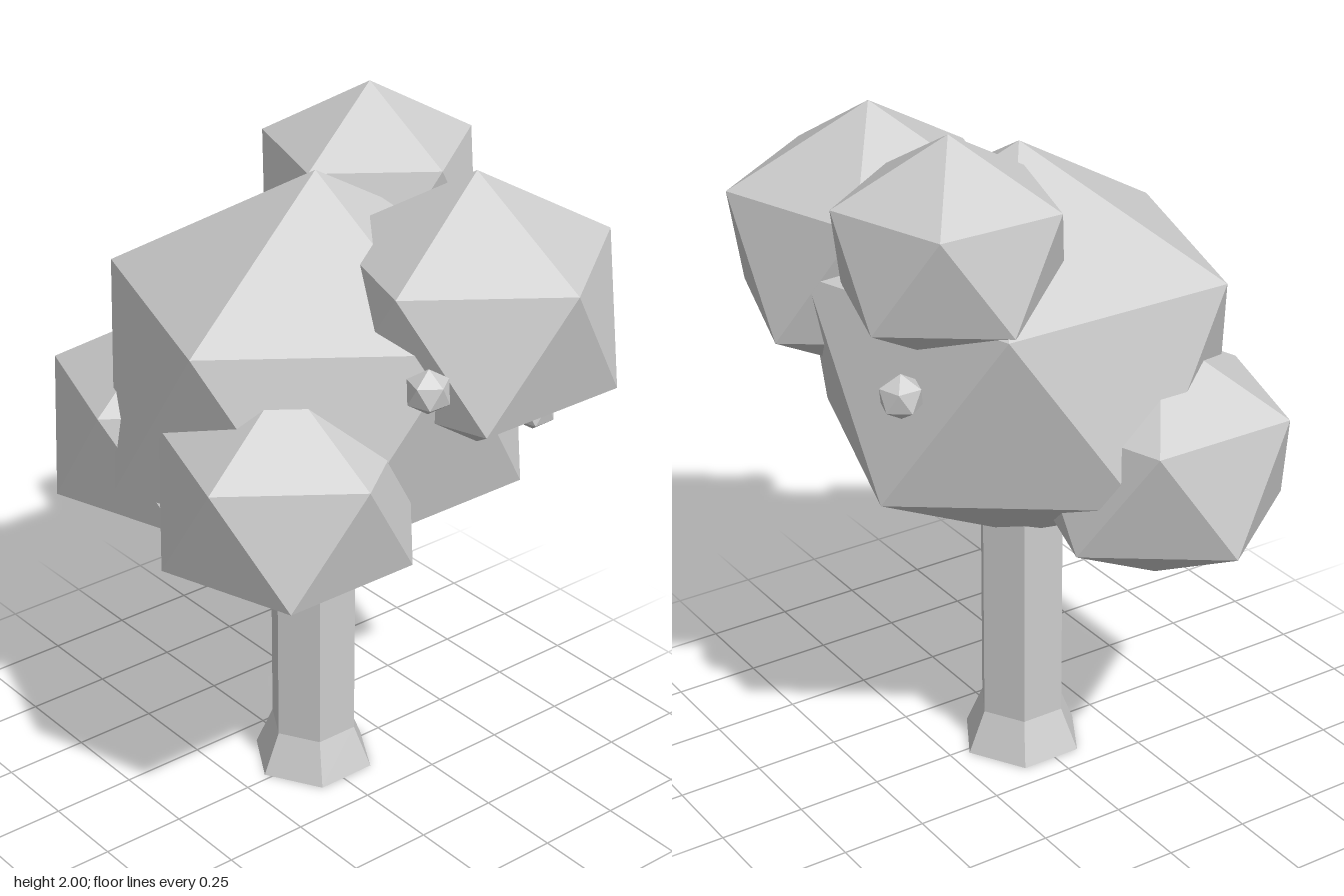
import * as THREE from 'three';
import { ConvexGeometry } from 'three/addons/geometries/ConvexGeometry.js';

// Icosahedron standing on a pole, with two staggered rings of five corners
function poleIcosahedron(radius, height) {
  const points = [new THREE.Vector3(0, height, 0), new THREE.Vector3(0, -height, 0)];
  const ring = radius * 2 / Math.sqrt(5), level = height / Math.sqrt(5);
  for (let i = 0; i < 5; i++) {
    const a = i * Math.PI * 2 / 5;
    points.push(new THREE.Vector3(Math.cos(a) * ring, level, Math.sin(a) * ring));
    points.push(new THREE.Vector3(-Math.cos(a) * ring, -level, -Math.sin(a) * ring));
  }
  return new ConvexGeometry(points);
}

export function createModel() {
  const model = new THREE.Group();
  model.name = 'tree';
  const grey = new THREE.MeshStandardMaterial({ color: 0xcccccc });
  grey.name = 'light grey';
  grey.flatShading = true;

  const add = (name, geometry, x, y, z) => {
    const mesh = new THREE.Mesh(geometry, grey);
    mesh.name = name;
    mesh.position.set(x, y, z);
    model.add(mesh);
  };

  // Six-sided trunk with a flared foot; its top is buried in the crown
  const trunkX = -0.02, trunkZ = -0.012;
  add('trunkFoot', new THREE.CylinderGeometry(0.13, 0.183, 0.125, 6, 1), trunkX, 0.0625, trunkZ);
  add('trunk', new THREE.CylinderGeometry(0.13, 0.13, 0.735, 6, 1, true), trunkX, 0.4925, trunkZ);

  // Foliage clumps, slightly flattened: name, radius, centre
  const clumps = [
    ['crown', 0.657, -0.02, 1.278, -0.02],
    ['foliageBackLeft', 0.447, 0.35, 1.52, -0.265],
    ['foliageBackRight', 0.347, -0.185, 1.688, -0.345],
    ['foliageFrontLeft', 0.391, 0.265, 1.113, 0.31],
    ['foliageFrontRight', 0.408, -0.39, 1.033, 0.19],
  ];
  for (const [name, r, x, y, z] of clumps) add(name, poleIcosahedron(r, r * 0.9), x, y, z);

  // Small round fruit on the foliage
  const fruit = poleIcosahedron(0.064, 0.064);
  [[0.595, 1.487, 0.105], [0.47, 1.235, -0.39], [-0.27, 1.355, -0.55]]
    .forEach(([x, y, z], i) => add('fruit' + (i + 1), fruit, x, y, z));

  return model;
}
